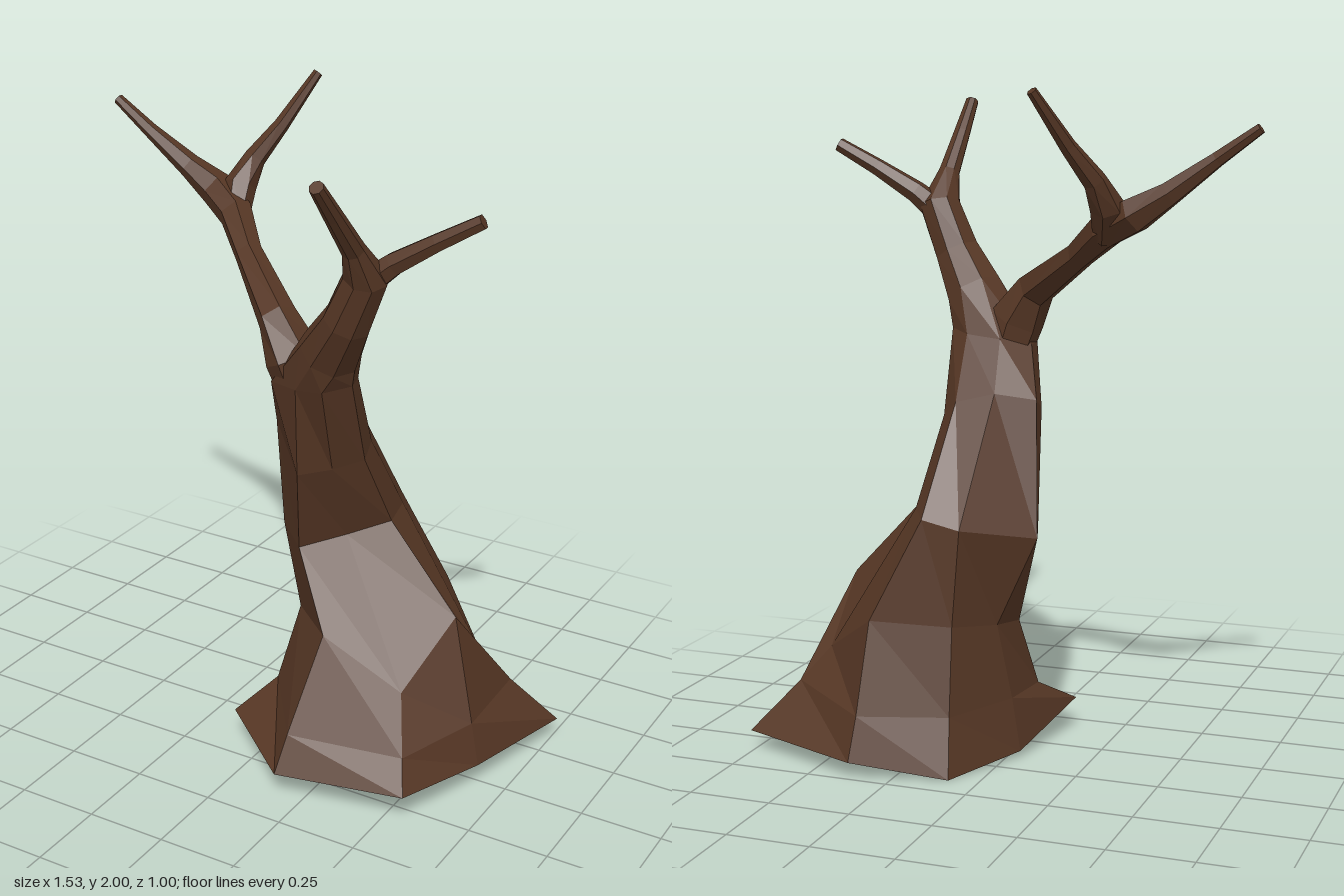
import * as THREE from 'three';

const bark = new THREE.MeshStandardMaterial({ color: 0x553624, flatShading: true });
bark.name = 'bark brown';

// Skin a stack of equal-sized rings, closing both ends with a fan
function loft(name, rings) {
  const pos = [];
  const tri = (a, b, c) => { for (const p of [a, b, c]) pos.push(p.x, p.y, p.z); };
  const n = rings[0].length;
  for (let r = 0; r < rings.length - 1; r++) {
    for (let i = 0; i < n; i++) {
      const j = (i + 1) % n, lo = rings[r], hi = rings[r + 1];
      tri(lo[i], hi[i], hi[j]);
      tri(lo[i], hi[j], lo[j]);
    }
  }
  const middle = ring => ring.reduce((s, p) => s.add(p), new THREE.Vector3()).divideScalar(n);
  const first = rings[0], last = rings[rings.length - 1];
  const c0 = middle(first), c1 = middle(last);
  for (let i = 0; i < n; i++) {
    const j = (i + 1) % n;
    tri(c0, first[i], first[j]);
    tri(c1, last[j], last[i]);
  }
  const g = new THREE.BufferGeometry();
  g.setAttribute('position', new THREE.Float32BufferAttribute(pos, 3));
  g.computeVertexNormals();
  const mesh = new THREE.Mesh(g, bark);
  mesh.name = name;
  return mesh;
}

// Round rings along a path of [x, y, z, radius], each starting at its front
function limbRings(path, sides = 6) {
  const pts = path.map(p => new THREE.Vector3(p[0], p[1], p[2]));
  return pts.map((p, k) => {
    const d = pts[Math.min(k + 1, pts.length - 1)].clone().sub(pts[Math.max(k - 1, 0)]).normalize();
    const u = new THREE.Vector3(0, 0, 1);
    u.addScaledVector(d, -u.dot(d)).normalize();
    const v = u.clone().cross(d);
    return Array.from({ length: sides }, (_, i) => {
      const a = (i / sides) * Math.PI * 2;
      return p.clone()
        .addScaledVector(u, Math.cos(a) * path[k][3])
        .addScaledVector(v, Math.sin(a) * path[k][3]);
    });
  });
}

export function createModel() {
  const tree = new THREE.Group();
  tree.name = 'bareTree';

  // Trunk cross-sections from the flared foot to the fork, each from the front round by -x
  const sections = [
    [[0.17, 0.08, 0.395], [-0.11, 0.10, 0.17], [-0.04, 0.02, -0.15], [0.09, 0, -0.41],
      [0.37, 0.05, -0.50], [0.76, 0.06, -0.36], [0.67, 0.075, 0.03], [0.57, 0.095, 0.33]],
    [[0.18, 0.19, 0.335], [-0.03, 0.18, 0.04], [-0.01, 0.18, -0.14], [0.11, 0.17, -0.35],
      [0.36, 0.18, -0.46], [0.63, 0.21, -0.275], [0.635, 0.20, 0.01], [0.53, 0.18, 0.26]],
    [[0.21, 0.46, 0.175], [0, 0.40, -0.05], [0.03, 0.41, -0.16], [0.12, 0.43, -0.30],
      [0.35, 0.45, -0.38], [0.55, 0.31, -0.22], [0.54, 0.51, -0.05], [0.46, 0.32, 0.14]],
    [[0.07, 0.68, 0.08], [-0.06, 0.68, -0.05], [-0.09, 0.68, -0.14], [0.10, 0.72, -0.29],
      [0.21, 0.75, -0.31], [0.27, 0.76, -0.21], [0.30, 0.76, -0.08], [0.19, 0.72, 0]],
    [[0.11, 0.96, 0.16], [-0.05, 1.05, 0.01], [-0.055, 1.08, -0.05], [0.06, 1.10, -0.10],
      [0.18, 1.07, -0.11], [0.24, 1.02, -0.055], [0.27, 1.00, 0.04], [0.20, 0.98, 0.11]],
    [[0.13, 1.25, 0.205], [0.01, 1.23, 0.14], [0, 1.23, 0.06], [0.08, 1.25, 0],
      [0.19, 1.26, 0.01], [0.26, 1.27, 0.07], [0.28, 1.27, 0.14], [0.22, 1.26, 0.21]],
  ].map(s => s.map(p => new THREE.Vector3(...p)));

  // The trunk runs on without a seam into the left limb
  const leftBranch = limbRings([
    [0.215, 1.37, 0.15, 0.092], [0.295, 1.49, 0.20, 0.072], [0.36, 1.635, 0.215, 0.066],
    [0.357, 1.73, 0.285, 0.034], [0.355, 1.85, 0.39, 0.027], [0.355, 1.95, 0.48, 0.021],
  ], 8);
  tree.add(loft('trunkAndLeftBranch', [...sections, ...leftBranch]));
  tree.add(loft('leftTwig', limbRings([
    [0.34, 1.60, 0.21, 0.045], [0.43, 1.675, 0.19, 0.035],
    [0.55, 1.75, 0.17, 0.027], [0.67, 1.82, 0.145, 0.022],
  ])));

  // Right limb and its side twig
  tree.add(loft('rightBranch', limbRings([
    [0.10, 1.17, 0.08, 0.075], [0.06, 1.30, 0.095, 0.085], [-0.01, 1.40, 0.07, 0.06],
    [-0.20, 1.52, -0.08, 0.044], [-0.31, 1.60, -0.185, 0.054], [-0.41, 1.65, -0.235, 0.055],
    [-0.51, 1.71, -0.235, 0.037], [-0.64, 1.805, -0.22, 0.023], [-0.76, 1.89, -0.22, 0.016],
  ])));
  tree.add(loft('rightTwig', limbRings([
    [-0.315, 1.58, -0.19, 0.04], [-0.335, 1.67, -0.25, 0.05], [-0.315, 1.745, -0.305, 0.034],
    [-0.26, 1.84, -0.37, 0.024], [-0.19, 1.99, -0.47, 0.015],
  ])));

  return tree;
}
